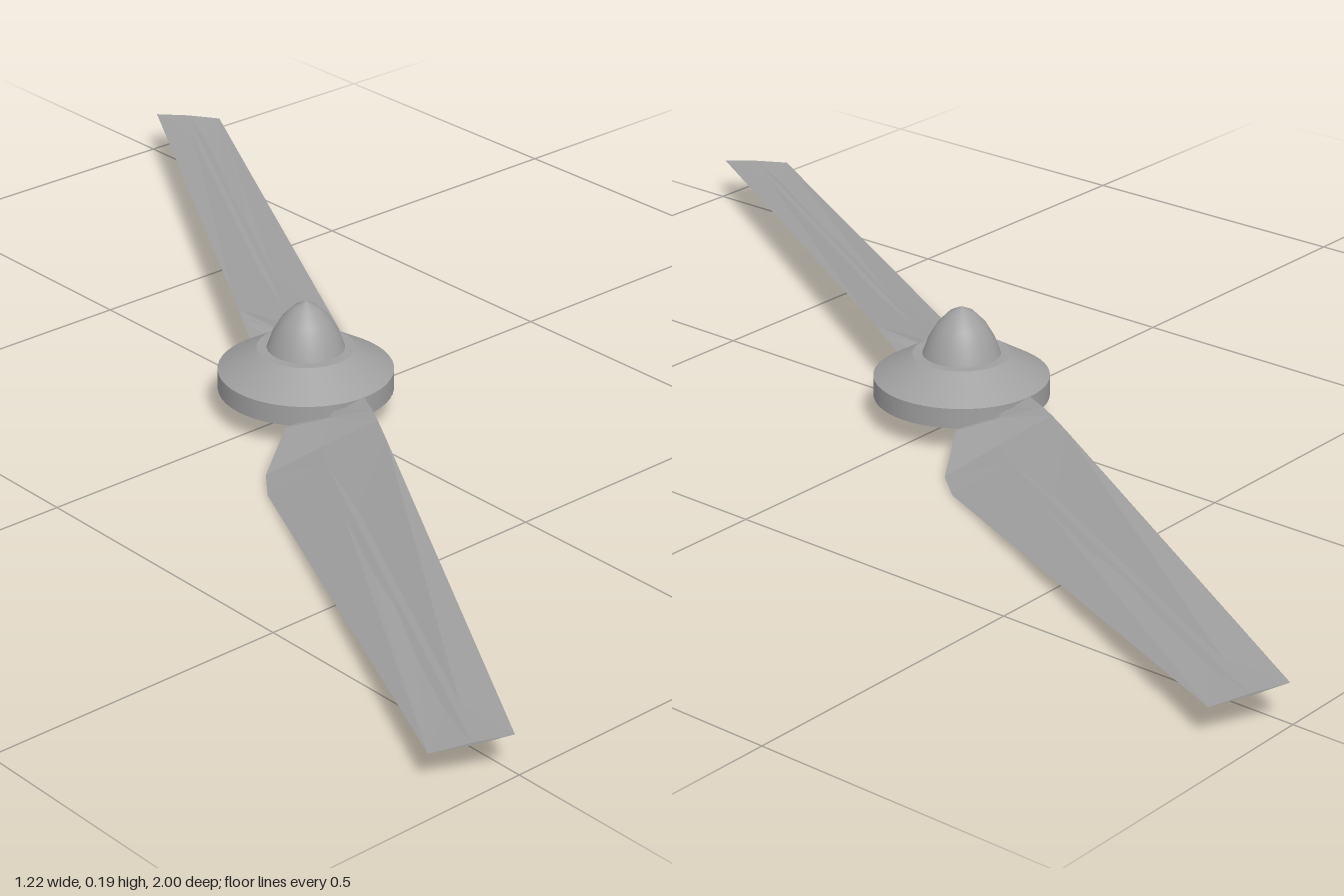
import * as THREE from 'three';

export function createModel() {
  const group = new THREE.Group();
  const metal = new THREE.MeshStandardMaterial({ color: 0xa0a0a0, side: THREE.DoubleSide });
  metal.name = 'grey metal';

  function add(parent, name, geometry) {
    const mesh = new THREE.Mesh(geometry, metal);
    mesh.name = name;
    parent.add(mesh);
  }

  function facets(points, index) {
    const geometry = new THREE.BufferGeometry();
    geometry.setAttribute('position', new THREE.Float32BufferAttribute(points.flat(), 3));
    geometry.setIndex(index);
    const flat = geometry.toNonIndexed();
    flat.computeVertexNormals();
    return flat;
  }

  // Hub: hollow shell, one turned band per part so the edges stay sharp
  const hub = new THREE.Group();
  hub.name = 'hub';
  group.add(hub);
  const bands = {
    hubRim: [[0.14, 0.042], [0.14, 0.075]],
    hubShoulder: [[0.14, 0.075], [0.078, 0.112]],
    hubStep: [[0.078, 0.112], [0.062, 0.112]],
    noseCone: [[0.062, 0.112], [0.053, 0.137], [0.039, 0.161], [0.02, 0.181], [0, 0.191]],
  };
  for (const [name, profile] of Object.entries(bands)) {
    add(hub, name, new THREE.LatheGeometry(profile.map(([r, y]) => new THREE.Vector2(r, y)), 48));
  }

  // Blade stations from root to tip: upper edge point, lower edge point
  const stations = [
    [[0.0, 0.076, -0.135], [0.08, 0.045, -0.1]],
    [[0.03, 0.081, -0.19], [0.12, 0.043, -0.09]],
    [[0.05, 0.083, -0.224], [0.2, 0.005, -0.135]],
    [[0.08, 0.083, -0.275], [0.235, 0, -0.18]],
    [[0.51, 0.067, -1], [0.61, 0.05, -0.94]],
  ];
  const points = [];
  const index = [];
  const half = 0.002;
  stations.forEach(([upper, lower], i) => {
    const mid = upper.map((v, k) => (v + lower[k]) / 2);
    points.push(upper, [mid[0], mid[1] + half, mid[2]], lower, [mid[0], mid[1] - half, mid[2]]);
    if (i === stations.length - 1) return;
    for (let j = 0; j < 4; j++) {
      const a = i * 4 + j, b = i * 4 + (j + 1) % 4;
      index.push(a, b, a + 4, b, b + 4, a + 4);
    }
  });
  const tip = (stations.length - 1) * 4;
  index.push(0, 3, 2, 0, 2, 1, tip, tip + 1, tip + 2, tip, tip + 2, tip + 3);
  const bladeGeometry = facets(points, index);

  // Level sliver that breaks through the blade towards the tip
  const y = 0.05;
  const creaseGeometry = facets(
    [[0.34, y, -0.54], [0.4, y, -0.62], [0.605, y, -0.935], [0.41, y, -0.69]],
    [0, 1, 3, 1, 2, 3]);

  for (const side of [0, 1]) {
    const blade = new THREE.Group();
    blade.name = side ? 'frontBlade' : 'backBlade';
    blade.rotation.y = side * Math.PI;
    add(blade, 'bladeSurface', bladeGeometry);
    add(blade, 'bladeCrease', creaseGeometry);
    group.add(blade);
  }
  return group;
}
